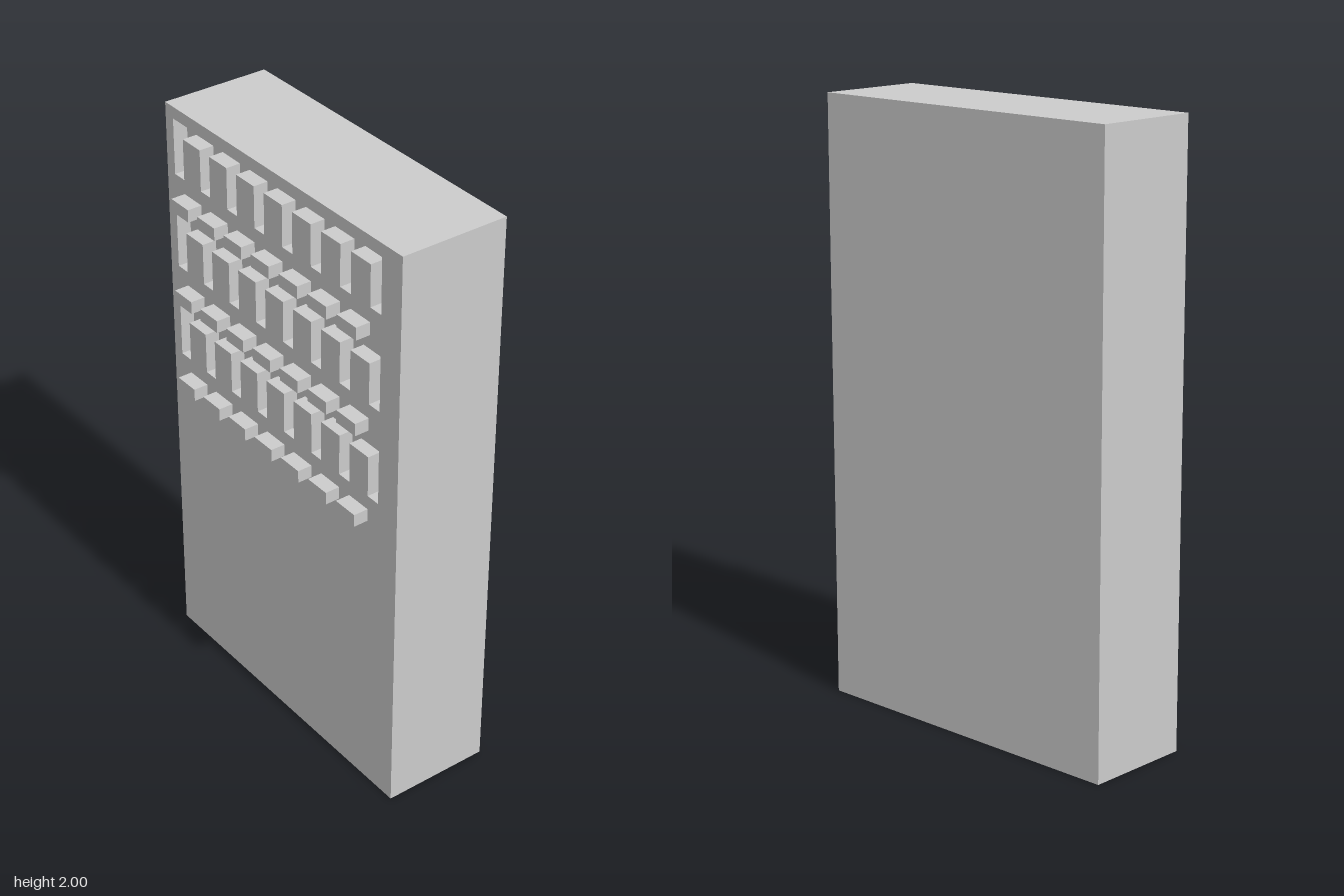
import * as THREE from 'three';

const W = 1.16, H = 2, BACK = -0.21, FRONT = 0.16;
const DEPTH = 0.05;                       // recess depth, also the ledge projection
const COLS = 7, ROWS = 3;
const PITCH = 0.14, ROW_PITCH = 0.3275;
const SLOT = 0.05, LEFT = -0.54;          // slot width, left end of the combs
const TOP = 1.96, TOOTH = 0.19;           // top of the first comb, its full height

// Comb outline: a top channel with eight slots hanging from it
function combPath(top) {
  const right = LEFT + COLS * PITCH + SLOT;
  const pts = [[LEFT, top], [right, top]];
  for (let i = COLS; i >= 0; i--) {
    const x = LEFT + i * PITCH;
    if (i < COLS) pts.push([x + SLOT, top - SLOT]);
    pts.push([x + SLOT, top - TOOTH], [x, top - TOOTH]);
    if (i > 0) pts.push([x, top - SLOT]);
  }
  return new THREE.Path(pts.map(([x, y]) => new THREE.Vector2(x, y)));
}

export function createModel() {
  const group = new THREE.Group();
  const mat = new THREE.MeshStandardMaterial({ color: 0xcccccc, flatShading: true });
  const add = (name, geometry, x, y, z) => {
    const mesh = new THREE.Mesh(geometry, mat);
    mesh.name = name;
    mesh.position.set(x, y, z);
    group.add(mesh);
  };

  // Solid slab behind the recesses
  const coreDepth = FRONT - DEPTH - BACK;
  add('slab', new THREE.BoxGeometry(W, H, coreDepth), 0, H / 2, BACK + coreDepth / 2);

  // Front layer pierced by the comb-shaped recesses
  const face = new THREE.Shape([
    new THREE.Vector2(-W / 2, 0), new THREE.Vector2(W / 2, 0),
    new THREE.Vector2(W / 2, H), new THREE.Vector2(-W / 2, H),
  ]);
  for (let r = 0; r < ROWS; r++) face.holes.push(combPath(TOP - r * ROW_PITCH));
  add('recessedFront', new THREE.ExtrudeGeometry(face, { depth: DEPTH, bevelEnabled: false }),
    0, 0, FRONT - DEPTH);

  // Small ledges projecting below each panel
  const ledge = new THREE.BoxGeometry(PITCH - SLOT, 0.043, DEPTH);
  for (let r = 0; r < ROWS; r++) {
    for (let c = 0; c < COLS; c++) {
      add('ledge', ledge, LEFT + SLOT + (PITCH - SLOT) / 2 + c * PITCH,
        1.7 - r * ROW_PITCH, FRONT + DEPTH / 2);
    }
  }
  return group;
}
